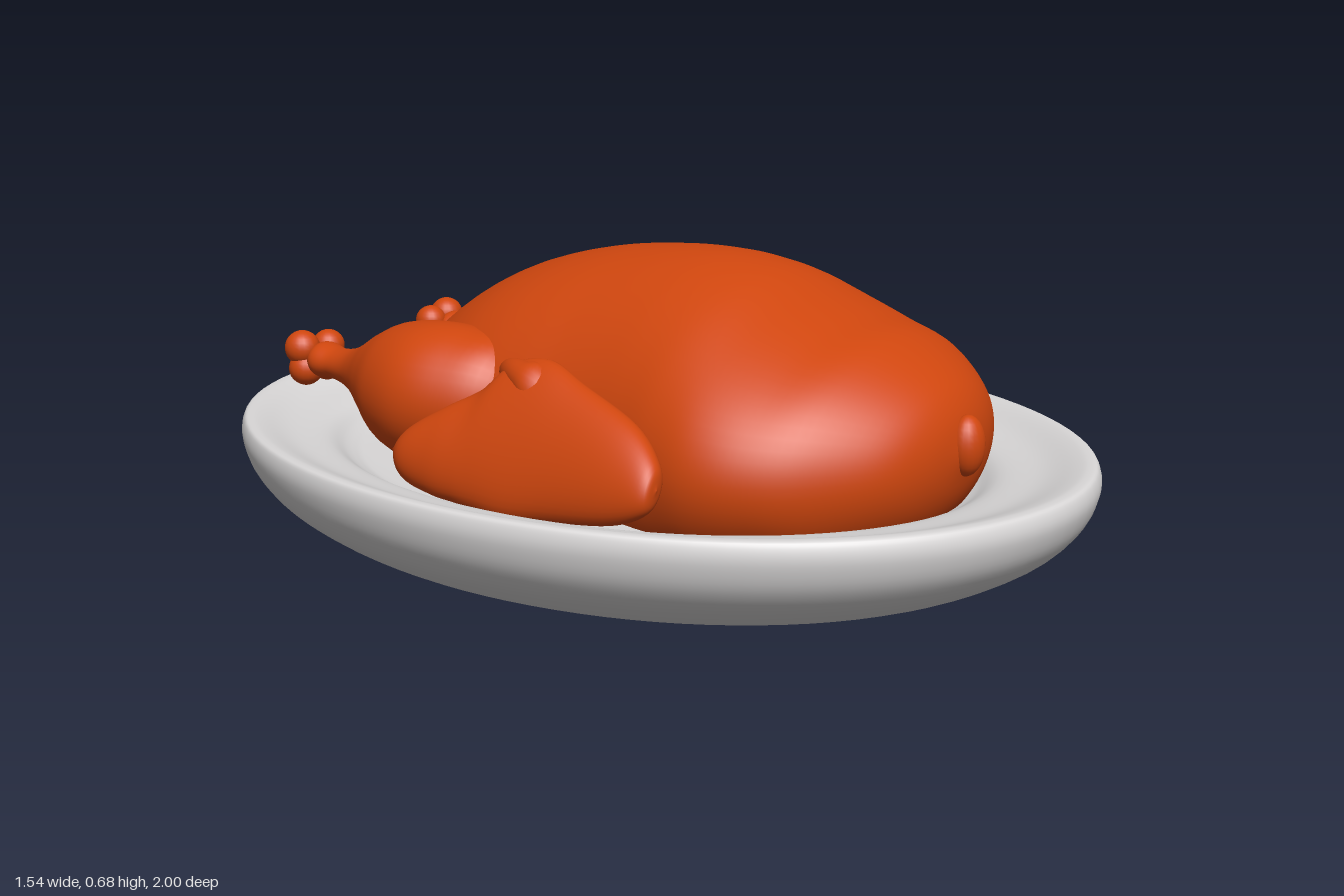
import * as THREE from 'three';

const skin = new THREE.MeshStandardMaterial({ color: 0xcf460e });
skin.name = 'roast orange';
const china = new THREE.MeshStandardMaterial({ color: 0xd9d7d7 });
china.name = 'china white';

// Smooth body through oval sections, front to back: [z, cx, cy, rx, ry, tilt]
function loft(rows, { side = 1, steps = 6, n = 40, shear = 0, floor = -1 } = {}) {
  const curve = (f) => new THREE.CatmullRomCurve3(rows.map(f), false, 'catmullrom', 0.5);
  const centre = curve(([z, x, y]) => new THREE.Vector3(x * side, y, z));
  const size = curve((r) => new THREE.Vector3(r[3], r[4], (r[5] || 0) * side));
  const count = (rows.length - 1) * steps;
  const pos = [], index = [];
  for (let i = 0; i <= count; i++) {
    const c = centre.getPoint(i / count), s = size.getPoint(i / count);
    for (let j = 0; j < n; j++) {
      const a = (j / n) * Math.PI * 2;
      const u = Math.max(s.x, 0.001) * Math.cos(a), v = Math.max(s.y, 0.001) * Math.sin(a);
      const y = c.y + u * Math.sin(s.z) + v * Math.cos(s.z);
      pos.push(c.x + u * Math.cos(s.z) - v * Math.sin(s.z) + shear * (y - c.y), Math.max(y, floor), c.z);
      if (i < count) {
        const k = (j + 1) % n, p = i * n, q = p + n;
        index.push(p + j, q + j, p + k, p + k, q + j, q + k);
      }
    }
  }
  const g = new THREE.BufferGeometry();
  g.setAttribute('position', new THREE.Float32BufferAttribute(pos, 3));
  g.setIndex(index);
  g.computeVertexNormals();
  return g;
}

function add(parent, name, geometry, material) {
  const mesh = new THREE.Mesh(geometry, material);
  mesh.name = name;
  parent.add(mesh);
  return mesh;
}

function ball(parent, name, x, y, z, rx, ry, rz) {
  const mesh = add(parent, name, new THREE.SphereGeometry(1, 20, 14), skin);
  mesh.position.set(x, y, z);
  mesh.scale.set(rx, ry, rz);
}

export function createModel() {
  const model = new THREE.Group();
  model.name = 'roastBirdOnPlatter';

  // Oval platter: rounded underside, narrow lip, sloping rim, sunken floor
  const profile = new THREE.SplineCurve([
    [0, 0], [0.3, 0.004], [0.55, 0.02], [0.78, 0.065], [0.91, 0.125], [0.975, 0.185],
    [1, 0.245], [0.994, 0.283], [0.975, 0.29], [0.945, 0.284], [0.88, 0.262],
    [0.79, 0.245], [0.73, 0.212], [0.65, 0.2], [0.3, 0.2], [0, 0.2],
  ].map(([x, y]) => new THREE.Vector2(x, y))).getPoints(75);
  profile.forEach((p) => { p.x = Math.max(p.x, 0); p.y = Math.max(p.y, 0); });
  const platter = add(model, 'platter', new THREE.LatheGeometry(profile, 96), china);
  platter.scale.x = 0.77;

  // Torso, from the neck end to the tail
  add(model, 'torso', loft([
    [0.775, 0, 0.34, 0, 0], [0.75, 0, 0.335, 0.14, 0.09], [0.7, 0, 0.33, 0.25, 0.155],
    [0.6, 0, 0.325, 0.365, 0.22], [0.5, 0, 0.325, 0.43, 0.248], [0.4, 0, 0.325, 0.457, 0.285],
    [0.3, 0, 0.325, 0.445, 0.328], [0.2, 0, 0.325, 0.42, 0.35], [0.1, 0, 0.325, 0.4, 0.355],
    [0, 0, 0.325, 0.39, 0.35], [-0.1, 0, 0.325, 0.39, 0.338], [-0.2, 0, 0.325, 0.385, 0.317],
    [-0.3, 0, 0.325, 0.36, 0.285], [-0.4, 0, 0.325, 0.31, 0.235], [-0.5, 0, 0.325, 0.24, 0.165],
    [-0.58, 0, 0.32, 0.165, 0.105], [-0.63, 0, 0.315, 0.09, 0.06], [-0.655, 0, 0.31, 0, 0],
  ], { n: 64, shear: 0.1, floor: 0.19 }), skin);
  ball(model, 'neckNub', 0, 0.355, 0.765, 0.042, 0.062, 0.036);

  for (const side of [1, -1]) {
    const label = side > 0 ? 'left' : 'right';

    // Thigh tapering to the shank, ending in a knuckle
    const leg = new THREE.Group();
    leg.name = label + 'Leg';
    model.add(leg);
    add(leg, label + 'Drumstick', loft([
      [-0.06, 0.27, 0.36, 0, 0], [-0.15, 0.275, 0.36, 0.115, 0.12], [-0.25, 0.29, 0.36, 0.155, 0.15],
      [-0.35, 0.3, 0.36, 0.163, 0.157], [-0.45, 0.285, 0.36, 0.15, 0.142], [-0.53, 0.265, 0.365, 0.118, 0.105],
      [-0.6, 0.25, 0.365, 0.083, 0.067], [-0.66, 0.24, 0.362, 0.058, 0.045], [-0.72, 0.232, 0.362, 0.047, 0.036],
      [-0.78, 0.225, 0.365, 0.05, 0.04], [-0.83, 0.22, 0.365, 0, 0],
    ], { side, floor: 0.19 }), skin);
    for (const [x, y, z, r] of [
      [0.25, 0.39, -0.822, 0.041], [0.178, 0.385, -0.81, 0.038],
      [0.248, 0.342, -0.815, 0.04], [0.188, 0.34, -0.808, 0.036],
    ]) ball(leg, label + 'Knuckle', x * side, y, z, r, r, r);

    // Folded wing leaning against the body, with the pointed joint on top
    const wing = new THREE.Group();
    wing.name = label + 'Wing';
    model.add(wing);
    add(wing, label + 'WingBlade', loft([
      [0.395, 0.525, 0.325, 0, 0, 0.5], [0.38, 0.522, 0.325, 0.03, 0.05, 0.5],
      [0.3, 0.505, 0.335, 0.05, 0.1, 0.5], [0.15, 0.49, 0.35, 0.055, 0.14, 0.5],
      [0.05, 0.48, 0.36, 0.058, 0.165, 0.52], [-0.03, 0.482, 0.355, 0.058, 0.155, 0.52],
      [-0.08, 0.5, 0.33, 0.053, 0.12, 0.48], [-0.15, 0.513, 0.312, 0.05, 0.093, 0.4],
      [-0.23, 0.52, 0.295, 0.042, 0.055, 0.3], [-0.28, 0.52, 0.295, 0, 0, 0.3],
    ], { side, floor: 0.2 }), skin);
    add(wing, label + 'WingJoint', loft([
      [0.12, 0.45, 0.44, 0, 0, 0.5], [0.05, 0.44, 0.45, 0.04, 0.05, 0.5],
      [0, 0.425, 0.46, 0.046, 0.04, 0.5], [-0.06, 0.4, 0.465, 0.033, 0.028, 0.5],
      [-0.11, 0.375, 0.463, 0, 0, 0.5],
    ], { side, n: 24 }), skin);
  }
  return model;
}
